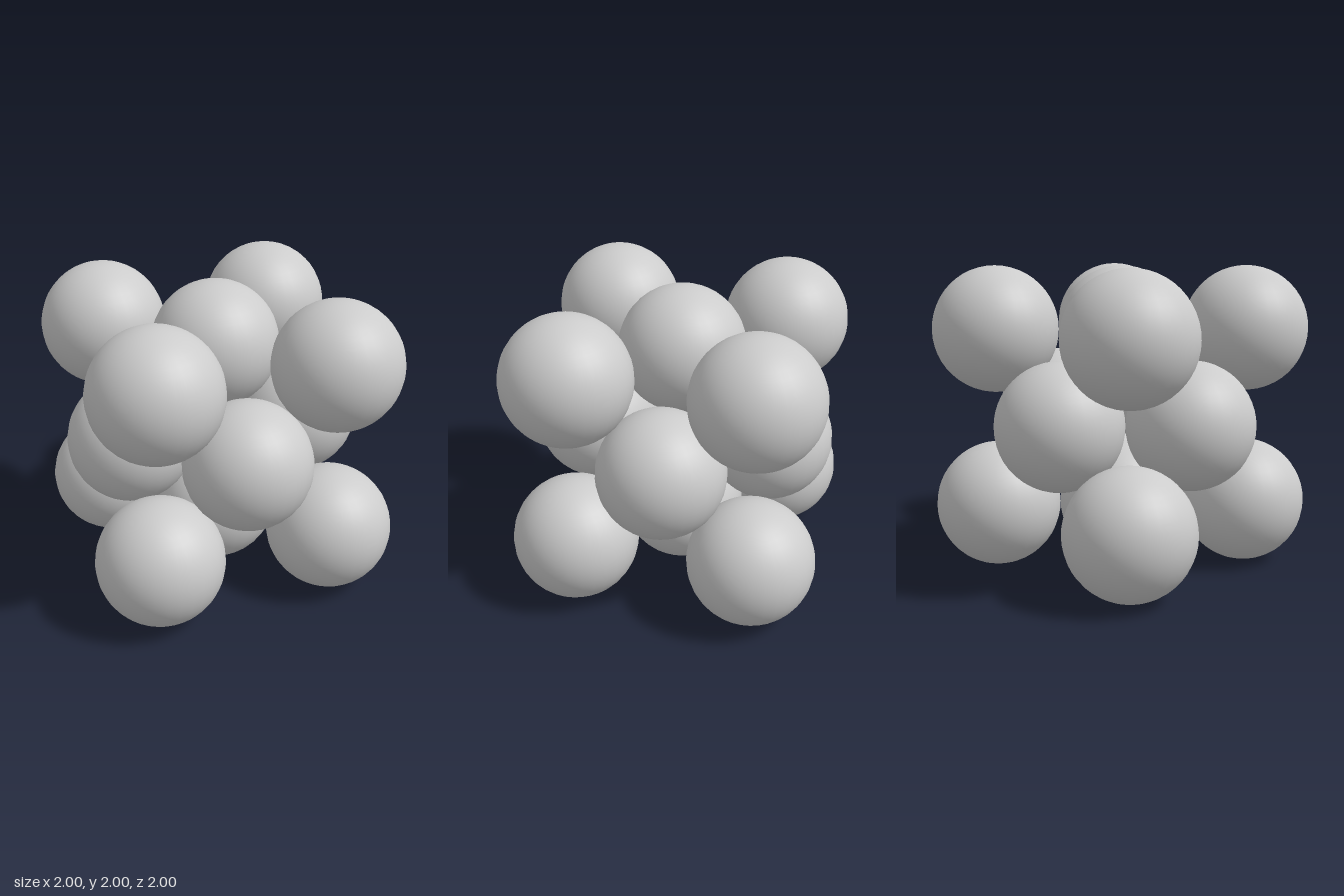
import * as THREE from 'three';

// Face-centred cubic cell: touching spheres on the corners and face centres of a cube
export function createModel() {
  const model = new THREE.Group();
  model.name = 'faceCentredCubicCell';

  const radius = Math.SQRT2 - 1; // neighbours touch along the face diagonals
  const half = 1 - radius;       // half the cube edge
  const geometry = new THREE.SphereGeometry(radius, 32, 24);
  const material = new THREE.MeshStandardMaterial({ color: 0xcccccc });

  const corners = new THREE.Group();
  corners.name = 'cornerSpheres';
  const faces = new THREE.Group();
  faces.name = 'faceSpheres';
  model.add(corners, faces);

  const addSphere = (group, name, x, y, z) => {
    const sphere = new THREE.Mesh(geometry, material);
    sphere.name = name;
    sphere.position.set(x * half, 1 + y * half, z * half);
    group.add(sphere);
  };

  // Three non-zero coordinates make a corner, exactly one makes a face centre
  for (const x of [-1, 0, 1])
    for (const y of [-1, 0, 1])
      for (const z of [-1, 0, 1]) {
        const count = Math.abs(x) + Math.abs(y) + Math.abs(z);
        if (count === 3) addSphere(corners, 'cornerSphere', x, y, z);
        if (count === 1) addSphere(faces, 'faceSphere', x, y, z);
      }

  return model;
}
